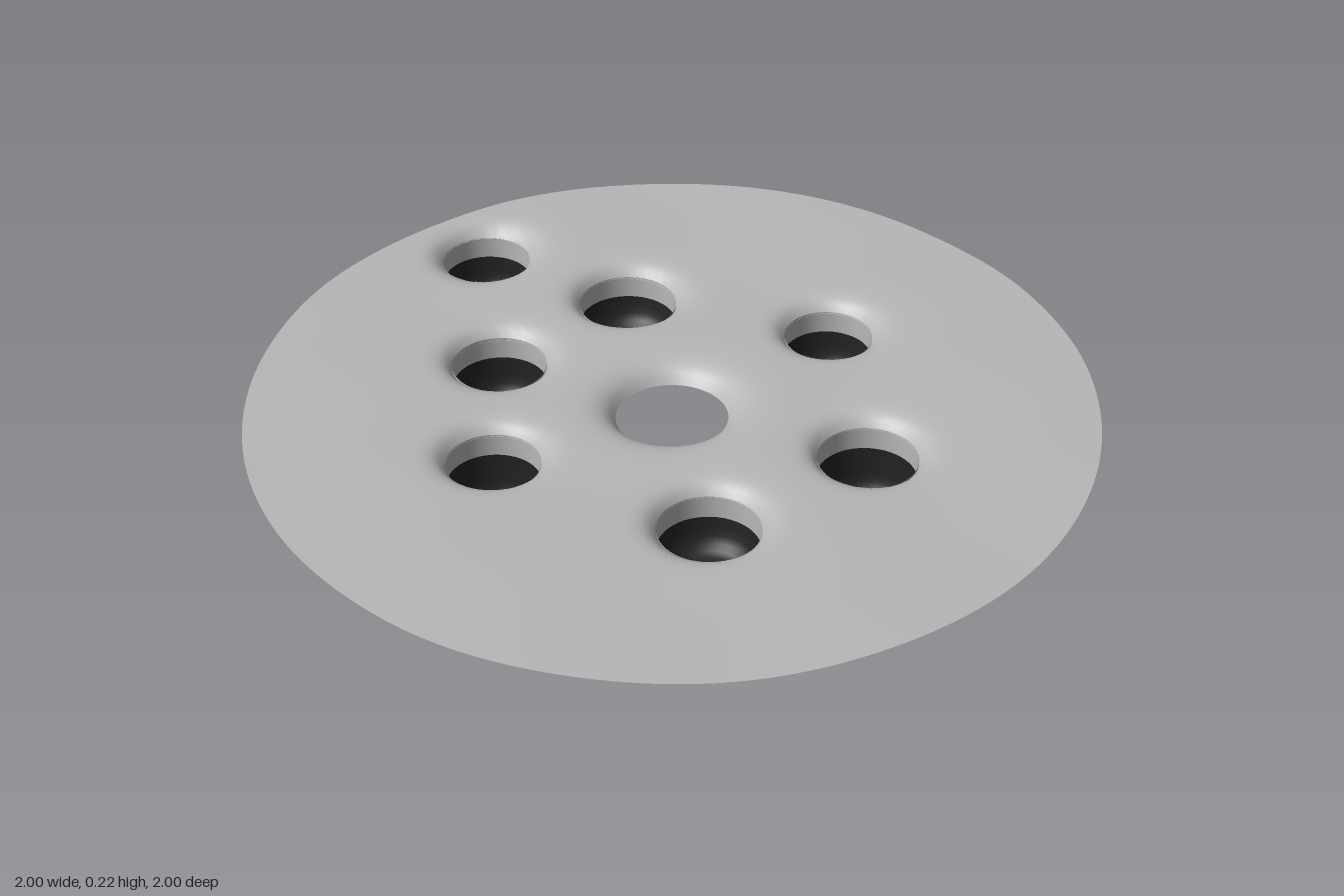
import * as THREE from 'three';
import { mergeVertices } from 'three/addons/utils/BufferGeometryUtils.js';

const HOLE = 0.133;      // radius of the centre hole
const SPLIT = 0.137;     // height where the cup colour changes
// each cup: x, z, radius, bottom height
const CUPS = [
  [-0.79, -0.213, 0.11, 0.035],
  [-0.383, -0.291, 0.12, 0.053],
  [0.092, -0.49, 0.107, 0.032],
  [0.464, -0.145, 0.117, 0.006],
  [0.349, 0.293, 0.118, 0.05],
  [-0.186, 0.417, 0.11, 0.006],
  [-0.446, 0.113, 0.114, 0.026],
];

// gentle ripples, a funnel round each cup and a dip round the centre hole
function sheetHeight(x, z) {
  let y = 0.225
    + 0.0022 * Math.sin(5.1 * x + 2.3 * z + 0.6)
    + 0.0018 * Math.sin(8.3 * z - 3.7 * x + 1.9)
    + 0.0010 * Math.sin(12.7 * x + 9.1 * z);
  for (const [cx, cz, r] of CUPS) {
    const d = Math.hypot(x - cx, z - cz);
    y -= 0.035 * Math.exp(-Math.max(d - r, 0) / 0.02);
  }
  return y - 0.048 * Math.exp(-Math.max(Math.hypot(x, z) - HOLE, 0) / 0.03);
}

// polar sheet whose vertices inside a cup are pushed out to its rim
function sheetGeometry() {
  const ring = new THREE.RingGeometry(HOLE, 1, 220, 84);
  ring.rotateX(-Math.PI / 2);
  ring.deleteAttribute('uv');
  ring.deleteAttribute('normal');
  const geo = mergeVertices(ring, 1e-5);
  const pos = geo.attributes.position;
  const inside = [];
  for (let i = 0; i < pos.count; i++) {
    let x = pos.getX(i), z = pos.getZ(i);
    for (const [cx, cz, r] of CUPS) {
      const d = Math.hypot(x - cx, z - cz);
      if (d < r) {
        const a = Math.atan2(z - cz, x - cx);
        x = cx + r * Math.cos(a);
        z = cz + r * Math.sin(a);
        inside[i] = true;
      }
    }
    pos.setXYZ(i, x, sheetHeight(x, z), z);
  }
  const kept = [];
  const index = geo.index.array;
  for (let i = 0; i < index.length; i += 3) {
    const [a, b, c] = [index[i], index[i + 1], index[i + 2]];
    if (!(inside[a] && inside[b] && inside[c])) kept.push(a, b, c);
  }
  geo.setIndex(kept);
  geo.computeVertexNormals();
  return geo;
}

function lathe(points) {
  return new THREE.LatheGeometry(points.map(([r, y]) => new THREE.Vector2(r, y)), 48);
}

export function createModel() {
  const model = new THREE.Group();
  model.name = 'cuppedDisc';
  const grey = new THREE.MeshStandardMaterial({ color: 0xb8b6b6, side: THREE.DoubleSide });
  grey.name = 'light grey';
  const black = new THREE.MeshStandardMaterial({ color: 0x222222, side: THREE.DoubleSide });
  black.name = 'black';

  const add = (parent, geometry, material, name) => {
    const mesh = new THREE.Mesh(geometry, material);
    mesh.name = name;
    parent.add(mesh);
  };

  add(model, sheetGeometry(), grey, 'disc');

  CUPS.forEach(([x, z, r, b], i) => {
    const cup = new THREE.Group();
    cup.name = `cup${i + 1}`;
    cup.position.set(x, 0, z);
    // upper wall joins the funnel of the disc
    add(cup, lathe([[r, SPLIT], [r, 0.165], [r + 0.0005, 0.194]]), grey, 'cupWall');
    // dark rounded bowl with a nearly flat floor
    add(cup, lathe([
      [0, b], [r * 0.4, b + 0.001], [r * 0.62, b + 0.004], [r * 0.76, b + 0.011],
      [r * 0.87, b + 0.023], [r * 0.94, b + 0.04], [r * 0.975, b + 0.06], [r, SPLIT],
    ]), black, 'cupBowl');
    model.add(cup);
  });

  return model;
}
